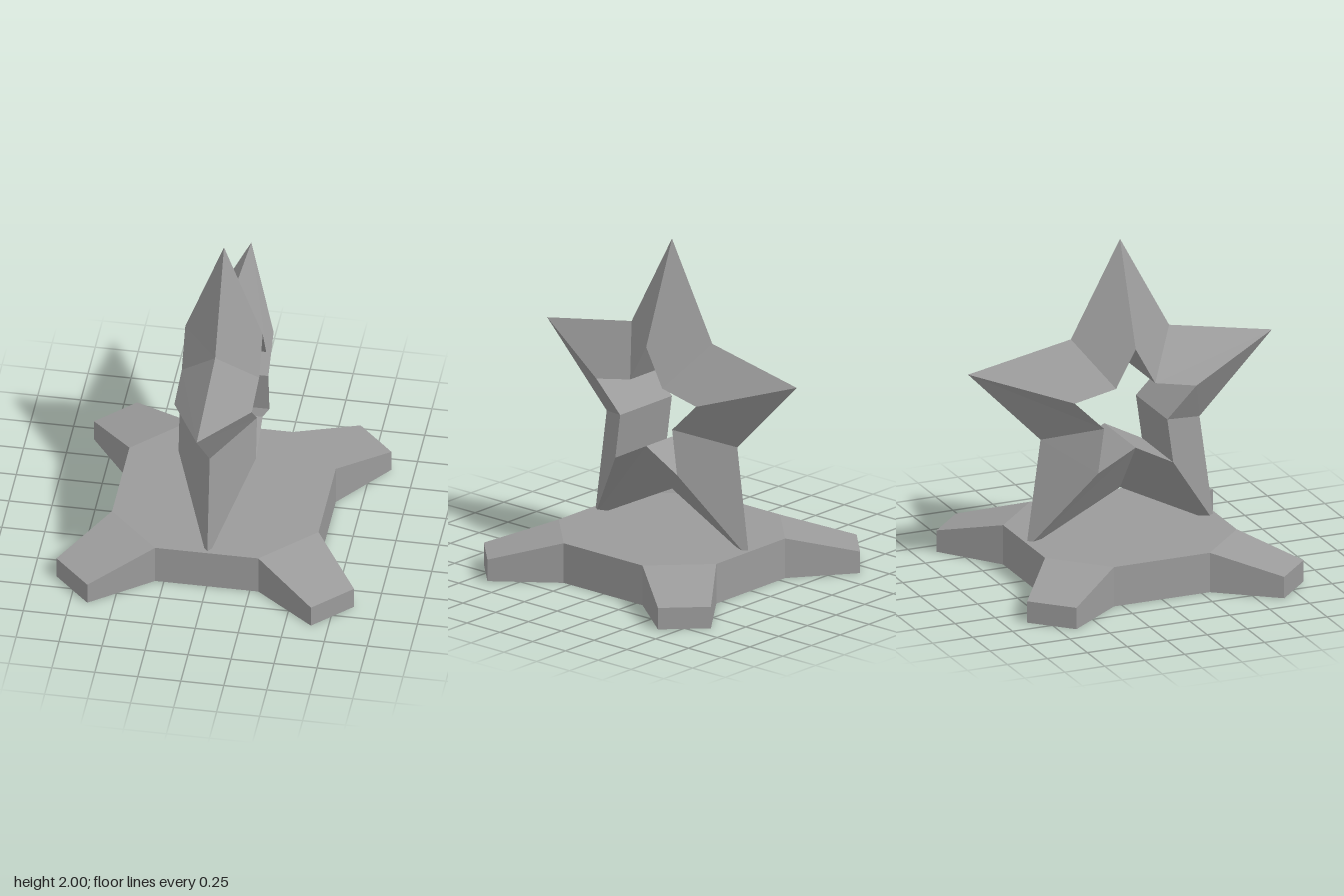
import * as THREE from 'three';

// Flat-shaded mesh from a list of four-cornered faces (counter-clockwise from outside)
function facetMesh(name, quads, side) {
  const pos = [];
  for (const [a, b, c, d] of quads) for (const p of [a, b, c, a, c, d]) pos.push(...p);
  const geometry = new THREE.BufferGeometry();
  geometry.setAttribute('position', new THREE.Float32BufferAttribute(pos, 3));
  geometry.computeVertexNormals();
  const material = new THREE.MeshStandardMaterial({ color: 0x9b9b9b, flatShading: true, side });
  const mesh = new THREE.Mesh(geometry, material);
  mesh.name = name;
  return mesh;
}

// Hollow five-pointed star: sharp outer rim at x = 0, wide inner rim around the hole
function createStar() {
  const halfWidth = 0.225;
  // even k are the points, odd k the valleys, which sit a touch higher
  const point = (tipR, valleyR, k, x) => {
    const a = (k * Math.PI) / 5;
    const [r, y] = k % 2 ? [valleyR, 1.008] : [tipR, 1];
    return [x, y + r * Math.cos(a), r * Math.sin(a)];
  };
  const outer = (k) => point(1, 0.523, k, 0);
  const inner = (k, s) => point(0.4, 0.208, k, s * halfWidth);
  const quads = [];
  for (let k = 0; k < 10; k++) {
    const n = (k + 1) % 10;
    quads.push([outer(k), outer(n), inner(n, 1), inner(k, 1)]); // left slope
    quads.push([outer(n), outer(k), inner(k, -1), inner(n, -1)]); // right slope
    quads.push([inner(k, 1), inner(n, 1), inner(n, -1), inner(k, -1)]); // hole wall
  }
  return facetMesh('star', quads, THREE.FrontSide);
}

// Base shell, open underneath: octagonal plate with four sloping feet
function createBase() {
  const top = 0.24, footTop = 0.13;
  const corner = [[0.6, top, 0.3], [0.865, footTop, 0.65], [0.65, footTop, 0.865], [0.3, top, 0.6]];
  const turn = ([x, y, z], q) => (q ? turn([-z, y, x], q - 1) : [x, y, z]);
  const floor = ([x, , z]) => [x, 0, z];
  const rim = [], quads = [];
  for (let q = 0; q < 4; q++) {
    const foot = corner.map((p) => turn(p, q));
    rim.push(...foot);
    quads.push([...foot].reverse()); // sloping foot top
    quads.push([[0, top, 0], foot[3], foot[0], turn(corner[3], q + 3)]); // quarter of the plate
  }
  rim.forEach((p, i) => {
    const n = rim[(i + 1) % rim.length];
    quads.push([p, n, floor(n), floor(p)]); // side wall
  });
  return facetMesh('base', quads, THREE.DoubleSide);
}

export function createModel() {
  const group = new THREE.Group();
  group.name = 'starOnStand';
  group.add(createBase(), createStar());
  return group;
}
